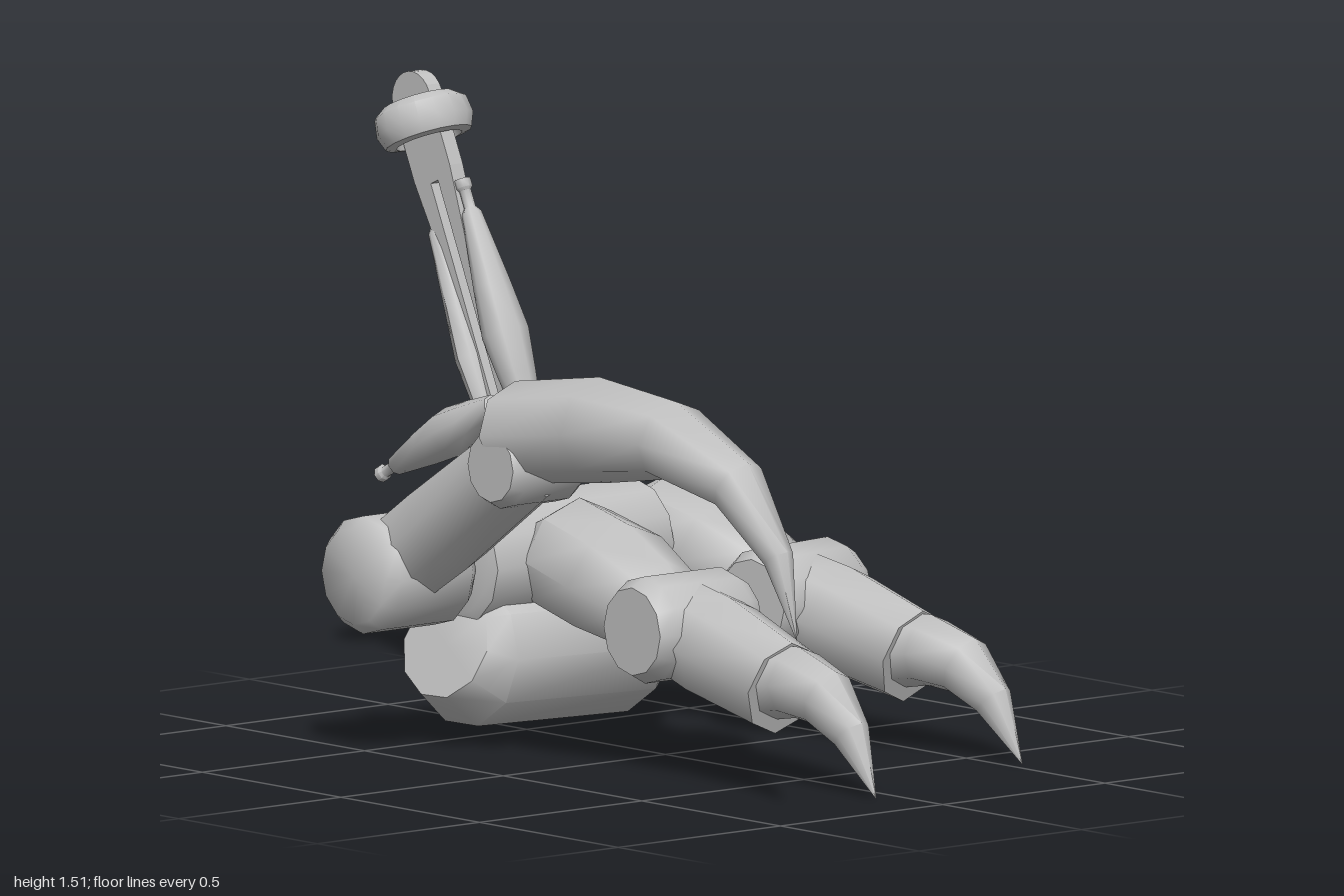
import * as THREE from 'three';
import { toCreasedNormals } from 'three/addons/utils/BufferGeometryUtils.js';

const metal = new THREE.MeshStandardMaterial({ color: 0xc0c0c0 });
metal.name = 'light grey metal';

function add(parent, name, geometry) {
  const mesh = new THREE.Mesh(geometry, metal);
  mesh.name = name;
  parent.add(mesh);
  return mesh;
}

// Capped skin over elliptical sections, each [x, y, z, sideRadius, upRadius]
function loft(rows, sides = 8, crease = 0.9) {
  const centres = rows.map(r => new THREE.Vector3(r[0], r[1], r[2]));
  const pos = [], index = [], Y = new THREE.Vector3(0, 1, 0);
  const last = rows.length - 1;
  rows.forEach((r, i) => {
    const t = centres[Math.min(i + 1, last)].clone().sub(centres[Math.max(i - 1, 0)]).normalize();
    const side = t.clone().cross(Math.abs(t.y) > 0.99 ? new THREE.Vector3(0, 0, -1) : Y).normalize();
    const up = side.clone().cross(t);
    for (let a = 0; a < sides; a++) {
      const w = (a / sides) * Math.PI * 2;
      const p = centres[i].clone().addScaledVector(side, r[3] * Math.cos(w)).addScaledVector(up, r[4] * Math.sin(w));
      pos.push(p.x, p.y, p.z);
    }
  });
  pos.push(...centres[0].toArray(), ...centres[last].toArray());
  const c0 = rows.length * sides, c1 = c0 + 1;
  for (let a = 0; a < sides; a++) {
    const b = (a + 1) % sides;
    for (let i = 0; i < last; i++) {
      const k = i * sides, n = k + sides;
      index.push(k + a, n + a, n + b, k + a, n + b, k + b);
    }
    index.push(c0, a, b, c1, last * sides + b, last * sides + a);
  }
  const g = new THREE.BufferGeometry();
  g.setAttribute('position', new THREE.Float32BufferAttribute(pos, 3));
  g.setIndex(index);
  return toCreasedNormals(g, crease);
}

// Chamfered joint running sideways from x0 to x1
function barrel(x0, x1, y, z, r, chamfer = 0.03) {
  const e = r * 0.82;
  return loft([[x0, y, z, e, e], [x0 + chamfer, y, z, r, r], [x1 - chamfer, y, z, r, r], [x1, y, z, e, e]], 12);
}

// Spindle-shaped actuator with thin rod ends between two points
function spindle(p, q, r, rSide = r) {
  const profile = [[0, 0.018], [0.06, 0.02], [0.07, 0.013], [0.12, 0.015], [0.13, 0.03],
    [0.3, 0.8], [0.45, 1], [0.62, 0.8], [0.88, 0.024], [0.9, 0.014], [0.96, 0.014], [0.97, 0.02], [1, 0.02]];
  return loft(profile.map(([t, k]) => [
    ...p.map((v, i) => v + (q[i] - v) * t),
    k > 0.1 ? k * rSide : k, k > 0.1 ? k * r : k]));
}

// Jointed walking finger, starting at its root and pointing to +z
function finger(name, x, z, turn) {
  const f = new THREE.Group();
  f.name = name;
  add(f, 'upperSegment', loft([
    [0, 0.45, 0, 0.1, 0.09], [0, 0.44, 0.07, 0.145, 0.145], [0, 0.4, 0.24, 0.155, 0.145],
    [0, 0.35, 0.39, 0.125, 0.12], [0, 0.33, 0.48, 0.06, 0.07]]));
  add(f, 'kneeJoint', barrel(-0.155, 0.155, 0.325, 0.48, 0.127, 0.04));
  add(f, 'lowerSegment', loft([
    [0, 0.325, 0.47, 0.12, 0.12], [0, 0.285, 0.62, 0.125, 0.13], [0, 0.22, 0.85, 0.108, 0.115]]));
  add(f, 'claw', loft([
    [0, 0.23, 0.8, 0.085, 0.09], [0, 0.24, 0.9, 0.09, 0.085], [0, 0.215, 1.01, 0.068, 0.075],
    [0, 0.14, 1.1, 0.042, 0.05], [0, 0, 1.19, 0.001, 0.001]]));
  f.position.set(x, 0, z);
  f.rotation.y = turn;
  return f;
}

// Raised claw on the right side
function raisedClaw() {
  const g = new THREE.Group(), x = -0.45;
  g.name = 'raisedClaw';
  add(g, 'knuckle', barrel(-0.59, -0.31, 0.43, -0.435, 0.14));
  add(g, 'upperSegment', loft([
    [x, 0.45, -0.43, 0.11, 0.115], [x, 0.56, -0.26, 0.115, 0.12], [x, 0.76, 0.04, 0.11, 0.11]]));
  add(g, 'middleJoint', barrel(-0.565, -0.335, 0.74, 0.03, 0.1));
  add(g, 'curvedClaw', loft([
    [x, 0.81, 0, 0.125, 0.12], [x, 0.85, 0.3, 0.13, 0.125], [x, 0.855, 0.55, 0.105, 0.095],
    [x, 0.775, 0.79, 0.07, 0.068], [x, 0.62, 0.935, 0.035, 0.038], [x, 0.435, 1, 0.001, 0.001]]));
  add(g, 'actuator', spindle([x, 0.89, -0.03], [x, 0.65, -0.5], 0.06, 0.065));
  return g;
}

// Leaning slotted mast with two actuators and a ring at the ankle
function mast() {
  const g = new THREE.Group();
  g.name = 'ankleMast';
  const s = new THREE.Shape();
  s.moveTo(-0.05, -0.12);
  s.lineTo(0.05, -0.12);
  s.lineTo(0.05, 0.6);
  s.lineTo(0.07, 0.8);
  s.absarc(0, 0.98, 0.07, 0, Math.PI, false);
  s.lineTo(-0.07, 0.8);
  s.lineTo(-0.05, 0.6);
  const slot = new THREE.Path();
  slot.moveTo(-0.014, 0.02);
  slot.lineTo(-0.014, 0.78);
  slot.lineTo(0.014, 0.78);
  slot.lineTo(0.014, 0.02);
  s.holes.push(slot);
  const plate = new THREE.ExtrudeGeometry(s, { depth: 0.04, bevelEnabled: false, curveSegments: 6 });
  plate.translate(0, 0, -0.02).rotateY(Math.PI / 2);
  add(g, 'slottedPlate', plate);
  add(g, 'frontActuator', spindle([0, 0.07, 0.075], [0, 0.76, 0.075], 0.055, 0.058));
  add(g, 'rearActuator', spindle([0, 0.04, -0.05], [0, 0.76, -0.06], 0.042, 0.052));
  // Ring with an inner web
  const profile = [[0.08, -0.05], [0.105, -0.045], [0.118, -0.012], [0.112, 0.03], [0.085, 0.05],
    [0.07, 0.035], [0.002, 0.005], [0.002, -0.005], [0.07, -0.01], [0.08, -0.05]];
  const ring = new THREE.LatheGeometry(profile.map(p => new THREE.Vector2(...p)), 16);
  add(g, 'ankleRing', toCreasedNormals(ring, 0.8)).position.y = 0.93;
  g.position.set(0.01, 0.55, -0.5);
  g.rotation.x = -0.425;
  return g;
}

export function createModel() {
  const model = new THREE.Group();
  model.name = 'mechanicalFoot';

  // Heel and the knuckle bar above it
  add(model, 'heel', loft([
    [-0.31, 0.24, -0.43, 0.13, 0.13], [-0.24, 0.215, -0.44, 0.18, 0.178],
    [0.23, 0.2, -0.46, 0.19, 0.178], [0.31, 0.2, -0.46, 0.125, 0.125]], 10, 0.8));
  add(model, 'knuckleBar', barrel(-0.285, 0.28, 0.43, -0.43, 0.148, 0.01));

  model.add(
    finger('middleFinger', -0.04, -0.36, -0.017),
    finger('outerFinger', 0.375, -0.525, 0.14),
    raisedClaw(),
    mast());
  return model;
}
